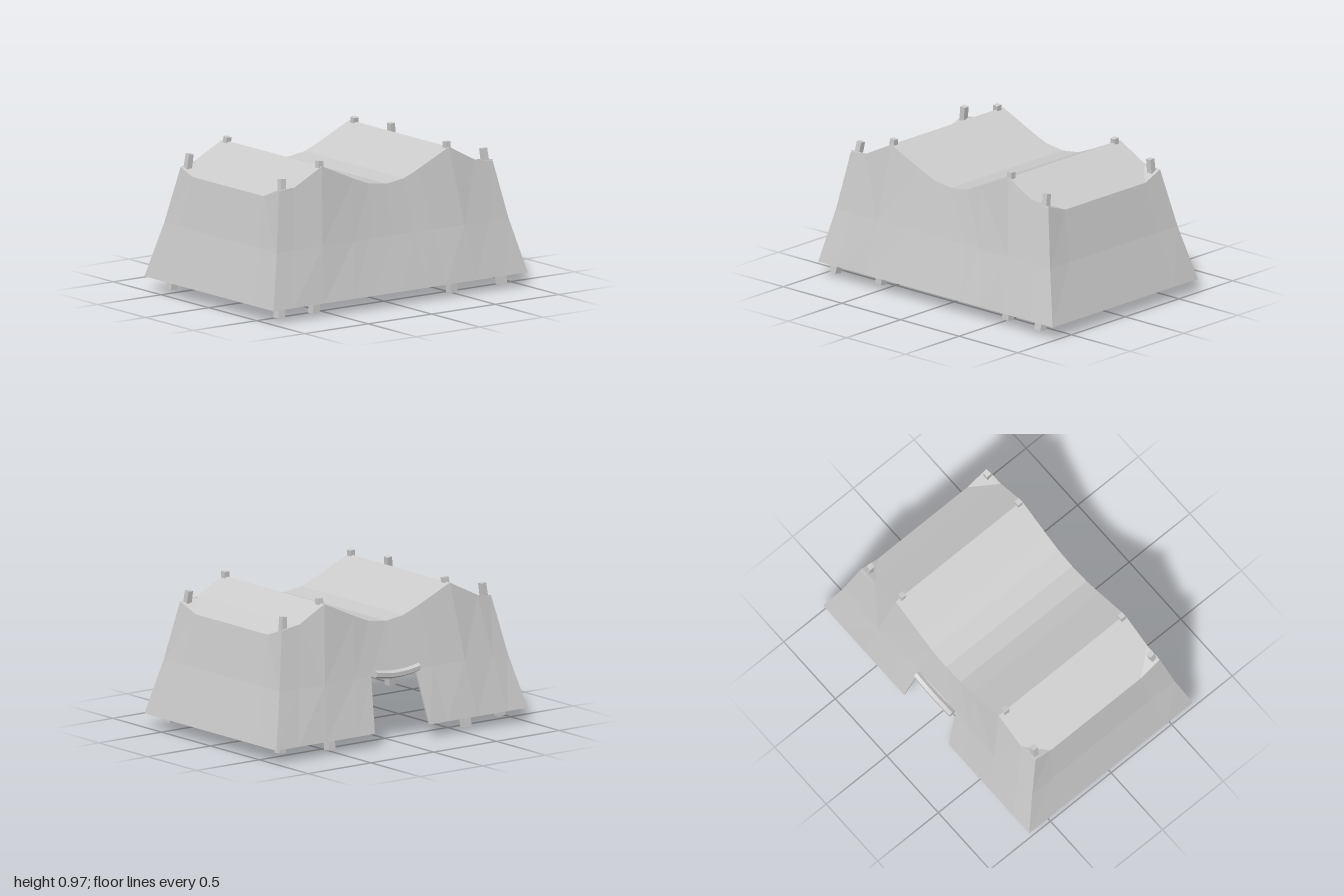
import * as THREE from 'three';

const material = new THREE.MeshStandardMaterial({ color: 0xcccccc, flatShading: true, side: THREE.DoubleSide });
const V = (x, y, z) => new THREE.Vector3(x, y, z);
const THICKNESS = 0.012;
const BASE = 0.095;

function addMesh(group, name, geometry) {
  const mesh = new THREE.Mesh(geometry, material);
  mesh.name = name;
  group.add(mesh);
  return mesh;
}

// Thick cloth from rows of points: columns run left to right, rows top to bottom, seen from outside
function cloth(rows, isHole = () => false) {
  const cols = rows[0].length;
  const points = rows.flat();
  const index = [];
  for (let r = 0; r < rows.length - 1; r++) {
    for (let c = 0; c < cols - 1; c++) {
      if (isHole(r, c)) continue;
      const a = r * cols + c, b = a + 1, d = a + cols, e = d + 1;
      // fold each cell along its lower diagonal
      if (points[a].y + points[e].y < points[b].y + points[d].y - 1e-4) index.push(a, d, e, a, e, b);
      else index.push(a, d, b, d, e, b);
    }
  }
  const outer = new THREE.BufferGeometry().setFromPoints(points);
  outer.setIndex(index);
  outer.computeVertexNormals();
  const normals = outer.attributes.normal;
  const n = points.length;
  const inner = points.map((p, i) => p.clone().addScaledVector(V(0, 0, 0).fromBufferAttribute(normals, i), -THICKNESS));

  // inner skin and the rim along every free edge
  const all = [...index];
  const edges = new Set();
  for (let i = 0; i < index.length; i += 3) {
    const t = [index[i], index[i + 1], index[i + 2]];
    all.push(t[0] + n, t[2] + n, t[1] + n);
    t.forEach((p, k) => edges.add(`${p},${t[(k + 1) % 3]}`));
  }
  for (const edge of edges) {
    const [p, q] = edge.split(',').map(Number);
    if (!edges.has(`${q},${p}`)) all.push(p, p + n, q, q, p + n, q + n);
  }
  const geometry = new THREE.BufferGeometry().setFromPoints([...points, ...inner]);
  geometry.setIndex(all);
  geometry.computeVertexNormals();
  return geometry;
}

// Wall rows: top edge, slightly drawn-in middle, bottom edge
function wallRows(tops, bottoms) {
  const middles = tops.map((top, i) => {
    const bottom = bottoms[i];
    const p = bottom.clone().lerp(top, (0.445 - BASE) / (top.y - BASE));
    if (Math.abs(bottom.x) > 0.67) p.x *= 0.987;
    if (Math.abs(bottom.z) > 0.99) p.z *= 0.988;
    return p;
  });
  return [tops, middles, bottoms];
}

// Square tapering pole between two points
function addPole(group, name, bottom, top) {
  const axis = top.clone().sub(bottom);
  const geometry = new THREE.CylinderGeometry(0.026, 0.037, axis.length(), 4);
  geometry.rotateY(Math.PI / 4);
  const pole = addMesh(group, name, geometry);
  pole.position.copy(bottom).lerp(top, 0.5);
  pole.quaternion.setFromUnitVectors(V(0, 1, 0), axis.normalize());
}

export function createModel() {
  const group = new THREE.Group();
  group.name = 'tent';

  // Roof profile from back to front: z, y at the sides, y in the middle, z where the wall meets the ground
  const profile = [
    [-0.83, 0.82, 0.765, -1], [-0.69, 0.835, 0.835, -0.82], [-0.49, 0.94, 0.94, -0.6],
    [-0.25, 0.83, 0.83, -0.36], [-0.135, 0.783, 0.783, -0.215], [0, 0.765, 0.765, 0],
    [0.14, 0.783, 0.783, 0.22], [0.26, 0.83, 0.83, 0.36], [0.51, 0.94, 0.94, 0.6],
    [0.73, 0.83, 0.83, 0.84], [0.85, 0.83, 0.765, 1],
  ];
  const xs = [-0.51, -0.37, 0.37, 0.53];
  const roof = profile.map(([z, ySide, yMid]) =>
    xs.map((x, i) => V(x, i === 0 || i === 3 ? ySide : yMid, z)));
  roof[10][0].set(-0.495, 0.81, 0.85);
  addMesh(group, 'roof', cloth(roof));

  // Front and back walls
  const groundX = [-0.675, -0.46, 0.46, 0.675];
  const ground = (z) => groundX.map((x) => V(x, BASE, z));
  addMesh(group, 'frontWall', cloth(wallRows(roof[10], ground(1))));
  addMesh(group, 'backWall', cloth(wallRows([...roof[0]].reverse(), ground(-1).reverse())));

  // Side walls, the right one with the doorway
  const sideTop = (column) => roof.map((row) => row[column]);
  const sideGround = (x) => profile.map((p) => V(x, BASE, p[3]));
  addMesh(group, 'leftWall', cloth(wallRows(sideTop(3).reverse(), sideGround(0.675).reverse())));
  const isDoor = (r, c) => r === 1 && (c === 4 || c === 5);
  addMesh(group, 'rightWall', cloth(wallRows(sideTop(0), sideGround(-0.675)), isDoor));

  // Rolled-up door flap, sagging in the middle
  const roll = new THREE.CylinderGeometry(0.026, 0.026, 0.345, 6, 8);
  roll.rotateX(Math.PI / 2);
  const pos = roll.attributes.position;
  for (let i = 0; i < pos.count; i++) {
    pos.setY(i, pos.getY(i) + 0.02 * (pos.getZ(i) / 0.172) ** 2);
  }
  addMesh(group, 'rolledDoor', roll).position.set(-0.612, 0.442, 0.007);

  // Ridge poles and corner poles
  for (const [zTop, zBottom] of [[0.51, 0.585], [-0.49, -0.5]]) {
    addPole(group, 'ridgePole', V(-0.58, 0.014, zBottom), V(-0.455, 0.968, zTop));
    addPole(group, 'ridgePole', V(0.545, 0.009, zBottom), V(0.503, 0.972, zTop));
  }
  for (const [zTop, zBottom] of [[0.8, 0.91], [-0.785, -0.84]]) {
    addPole(group, 'cornerPole', V(-0.508, 0.03, zBottom), V(-0.467, 0.892, zTop));
    addPole(group, 'cornerPole', V(0.615, 0.03, zBottom), V(0.495, 0.89, zTop));
  }
  return group;
}
